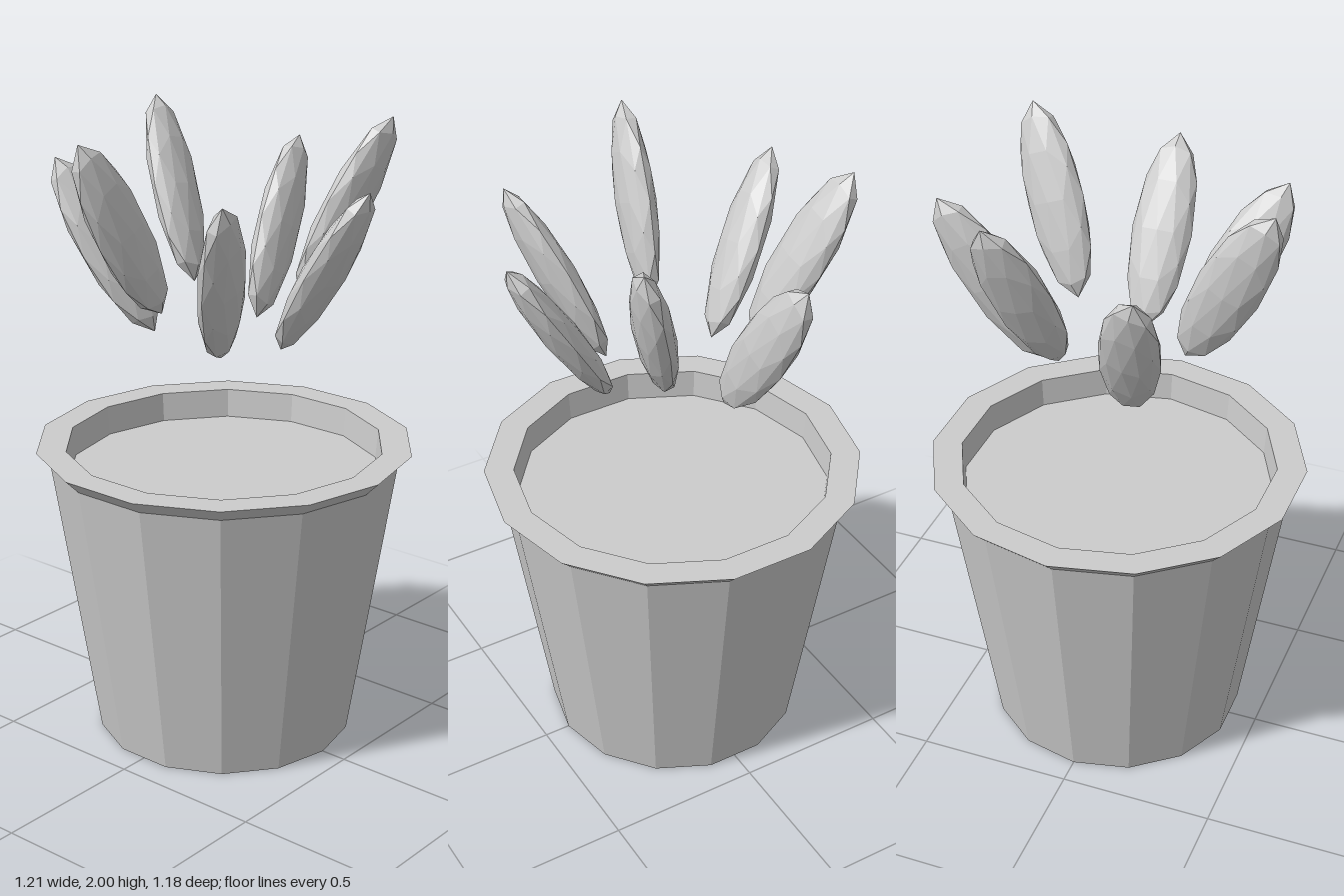
import * as THREE from 'three';

const SIDES = 14;
const LEAVES = 7;

export function createModel() {
  const model = new THREE.Group();
  model.name = 'pottedPlant';
  const material = new THREE.MeshStandardMaterial({ color: 0xcccccc, flatShading: true });

  const add = (name, geometry, parent = model) => {
    const mesh = new THREE.Mesh(geometry, material);
    mesh.name = name;
    parent.add(mesh);
    return mesh;
  };

  // Faceted solid of revolution with a corner on the +x axis
  const turned = (profile) => new THREE.LatheGeometry(
    profile.map(([r, y]) => new THREE.Vector2(r, y)), SIDES, Math.PI / 2, Math.PI * 2);

  // Tapered pot wall with closed base
  add('pot', turned([[0, 0], [0.415, 0], [0.56, 0.93]]));

  // Flared rim with flat lip and inner wall
  add('rim', turned([[0.56, 0.93], [0.605, 0.975], [0.51, 0.975], [0.502, 0.88]]));

  // Soil surface inside the rim
  add('soil', turned([[0.502, 0.88], [0, 0.88]]));

  // Ring of flattened leaves leaning outwards, alternately low and high
  const leaves = new THREE.Group();
  leaves.name = 'leaves';
  model.add(leaves);
  const leafShape = new THREE.IcosahedronGeometry(1, 1).scale(0.055, 0.314, 0.1);
  for (let i = 0; i < LEAVES; i++) {
    const angle = -(i / LEAVES) * Math.PI * 2;
    const high = i % 2 === 1;
    const tilt = high ? 0.48 : 0.54;
    const leaf = add(`leaf${i + 1}`, leafShape, leaves);
    leaf.position.set(0.386 * Math.cos(angle), high ? 1.72 : 1.595, 0.386 * Math.sin(angle));
    leaf.rotation.set(tilt * Math.sin(angle), 0, -tilt * Math.cos(angle));
  }

  return model;
}
